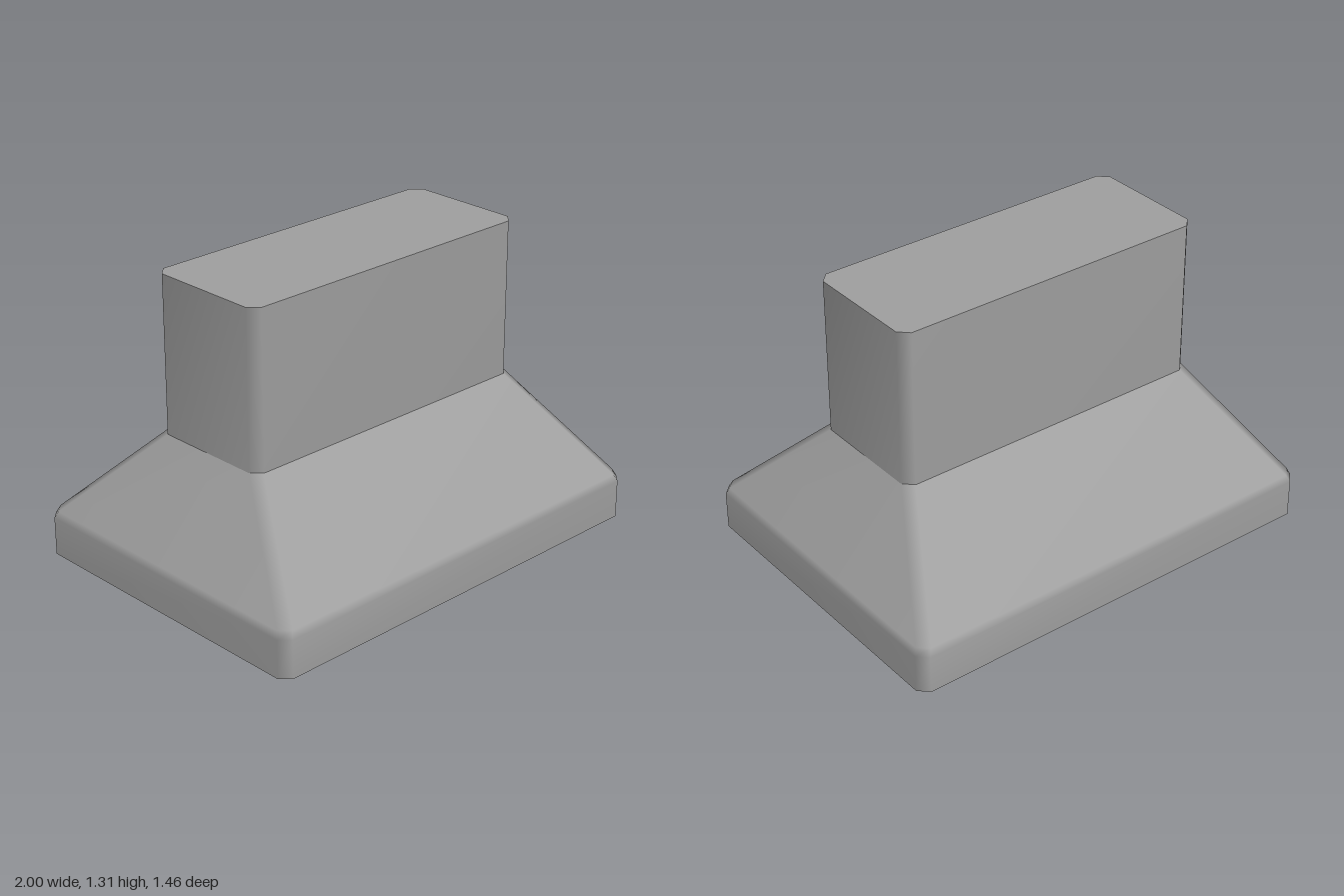
import * as THREE from 'three';

// Rectangle with cut corners at height y: half width, half depth, corner cut
function ring([y, w, d, c]) {
  return [
    [w, y, -d + c], [w, y, d - c], [w - c, y, d], [-w + c, y, d],
    [-w, y, d - c], [-w, y, -d + c], [-w + c, y, -d], [w - c, y, -d],
  ];
}

// Smooth open sheet lofted through the sections, bottom to top
function loft(sections) {
  const positions = sections.flatMap((s) => ring(s).flat());
  const index = [];
  for (let r = 0; r < sections.length - 1; r++) {
    for (let i = 0; i < 8; i++) {
      const a = r * 8 + i, b = r * 8 + ((i + 1) % 8);
      index.push(a, a + 8, b, b, a + 8, b + 8);
    }
  }
  const geometry = new THREE.BufferGeometry();
  geometry.setAttribute('position', new THREE.Float32BufferAttribute(positions, 3));
  geometry.setIndex(index);
  geometry.computeVertexNormals();
  return geometry;
}

// Flat lid facing up
function lid(section) {
  const geometry = new THREE.BufferGeometry();
  geometry.setAttribute('position', new THREE.Float32BufferAttribute(ring(section).flat(), 3));
  const index = [];
  for (let i = 1; i < 7; i++) index.push(0, i + 1, i);
  geometry.setIndex(index);
  geometry.computeVertexNormals();
  return geometry;
}

export function createModel() {
  const group = new THREE.Group();
  group.name = 'rangeHood';
  const metal = new THREE.MeshStandardMaterial({ color: 0xa0a0a0, side: THREE.DoubleSide });
  metal.name = 'greyMetal';

  const add = (name, geometry) => {
    const mesh = new THREE.Mesh(geometry, metal);
    mesh.name = name;
    group.add(mesh);
  };

  const neck = [0.62, 0.735, 0.287, 0.042];
  const top = [1.313, 0.735, 0.287, 0.042];

  // Hollow canopy: upright skirt, narrow bevel, sloped sides up to the neck
  add('canopy', loft([
    [0, 1, 0.73, 0.042],
    [0.17, 1, 0.73, 0.042],
    [0.2, 0.987, 0.716, 0.042],
    neck,
  ]));

  // Chimney, open into the canopy and closed on top
  add('chimney', loft([neck, top]));
  add('chimneyTop', lid(top));

  return group;
}
